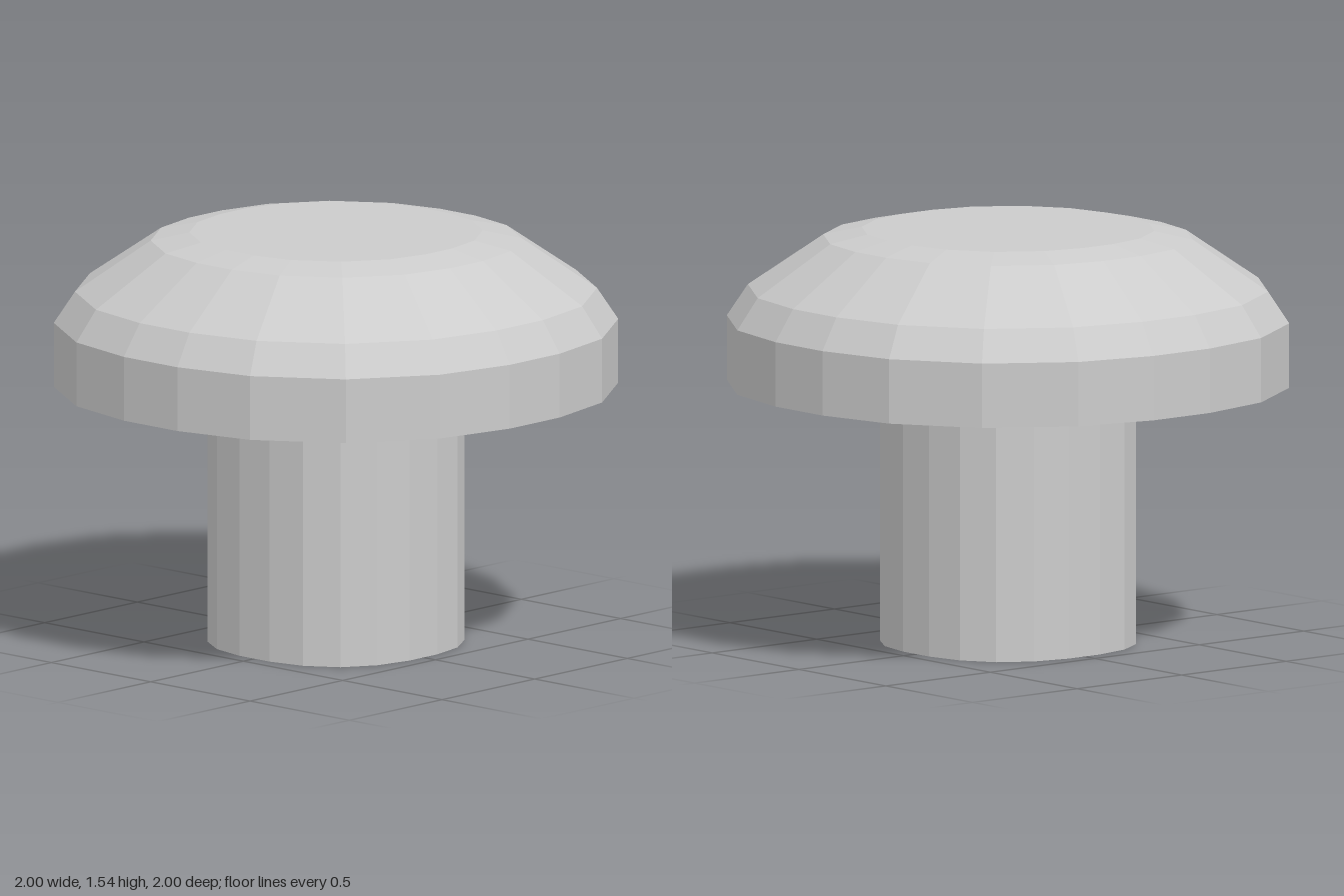
import * as THREE from 'three';

// Closed 20-sided outline of a rounded square. Half an octant is given as
// [x, z] points and mirrored about the diagonal, then turned four times.
function outline(edge, shoulder, corner) {
  const quarter = [edge, shoulder, [corner, corner], [shoulder[1], shoulder[0]], [edge[1], edge[0]]];
  const points = [];
  let turn = ([x, z]) => [x, z];
  for (let q = 0; q < 4; q++) {
    const previous = turn;
    quarter.forEach((p) => points.push(previous(p)));
    turn = (p) => { const [x, z] = previous(p); return [-z, x]; };
  }
  return points;
}

const ring = (points, scale, y) =>
  points.map(([x, z]) => new THREE.Vector3(x * scale, y, z * scale));

// Skins rings from bottom to top, optionally closing either end.
function skin(rings, closeBottom, closeTop) {
  const corners = [];
  const n = rings[0].length;
  const first = rings[0], last = rings[rings.length - 1];
  const low = new THREE.Vector3(0, first[0].y, 0);
  const high = new THREE.Vector3(0, last[0].y, 0);
  for (let i = 0; i < n; i++) {
    const j = (i + 1) % n;
    for (let r = 0; r < rings.length - 1; r++) {
      const a = rings[r], b = rings[r + 1];
      corners.push(a[i], b[i], a[j], b[i], b[j], a[j]);
    }
    if (closeBottom) corners.push(low, first[i], first[j]);
    if (closeTop) corners.push(high, last[j], last[i]);
  }
  const geometry = new THREE.BufferGeometry().setFromPoints(corners);
  geometry.computeVertexNormals();
  return geometry;
}

export function createModel() {
  const group = new THREE.Group();
  group.name = 'knob';
  const material = new THREE.MeshStandardMaterial({ color: 0xcccccc, flatShading: true });

  const stemOutline = outline([0.44, 0.075], [0.41, 0.217], 0.335);
  const capOutline = outline([1, 0.135], [0.932, 0.437], 0.735);

  // Straight stem with a closed foot
  const stem = new THREE.Mesh(
    skin([ring(stemOutline, 1, 0), ring(stemOutline, 1, 0.887)], true, false), material);
  stem.name = 'stem';

  // Cap: sloping underside, upright rim, domed shoulders and flat top
  const capProfile = [[1, 0.963], [1, 1.203], [0.925, 1.32], [0.657, 1.51], [0.52, 1.54]];
  const cap = new THREE.Mesh(
    skin([ring(stemOutline, 1, 0.887),
      ...capProfile.map(([scale, y]) => ring(capOutline, scale, y))], false, true), material);
  cap.name = 'cap';

  group.add(stem, cap);
  return group;
}
